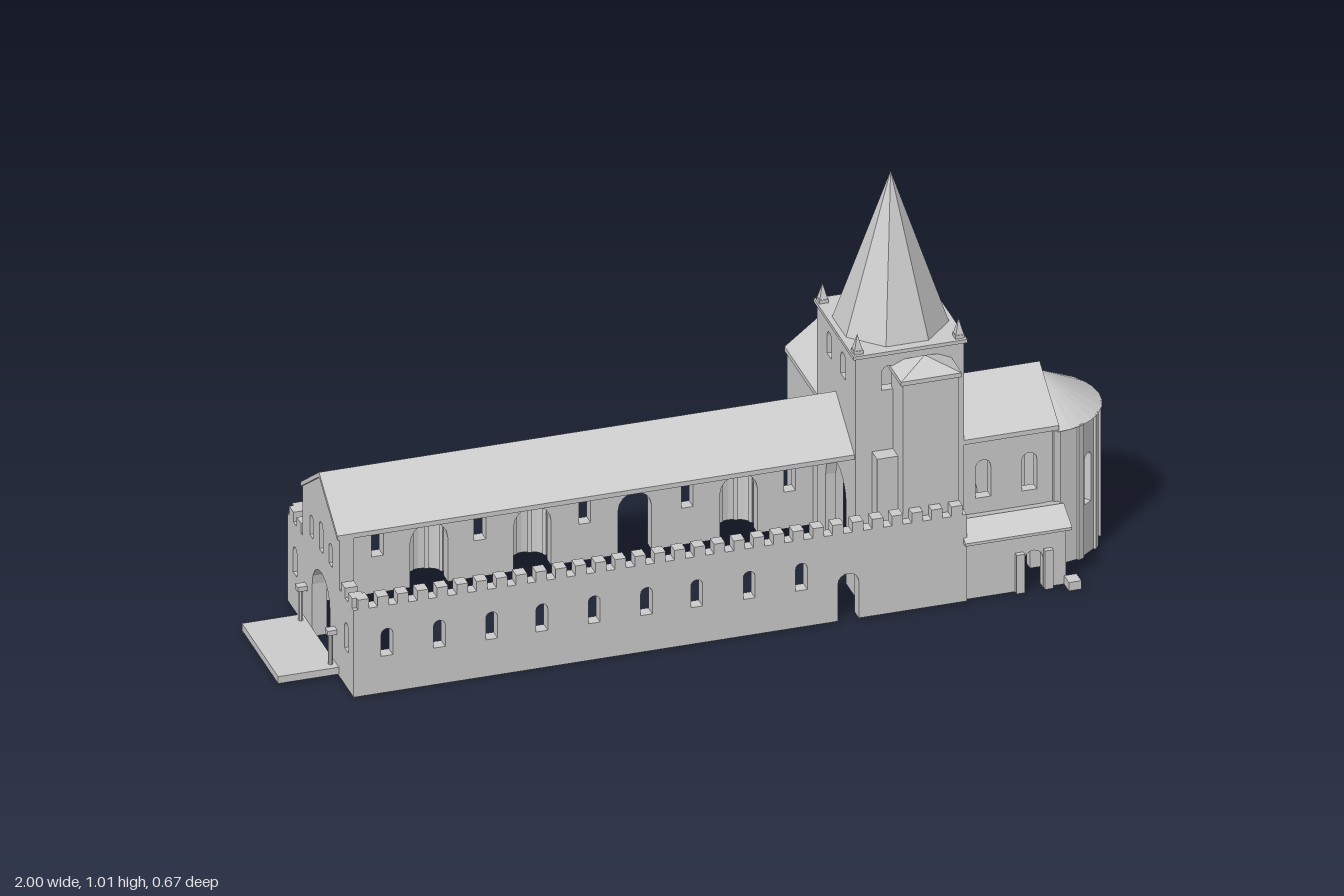
import * as THREE from 'three';

const mat = new THREE.MeshStandardMaterial({ color: 0xcccccc, flatShading: true, side: THREE.DoubleSide });
const CX = 0.505, CZ = 0.07; // tower centre and long axis of the church

export function createModel() {
  const root = new THREE.Group();

  const add = (name, geo, x = 0, y = 0, z = 0, ry = 0, parent = root) => {
    const m = new THREE.Mesh(geo, mat);
    m.name = name;
    m.position.set(x, y, z);
    m.rotation.y = ry;
    parent.add(m);
    return m;
  };
  const box = (name, x0, x1, y0, y1, z0, z1) =>
    add(name, new THREE.BoxGeometry(x1 - x0, y1 - y0, z1 - z0), (x0 + x1) / 2, (y0 + y1) / 2, (z0 + z1) / 2);

  // round-headed outline, used for windows (holes) and doors (notches)
  const arch = (path, { u, w, y0 = 0, y1 }) => {
    path.lineTo(u - w / 2, y0);
    path.lineTo(u - w / 2, y1 - w / 2);
    for (let i = 1; i < 8; i++) {
      const a = Math.PI * (1 - i / 8);
      path.lineTo(u + Math.cos(a) * w / 2, y1 - w / 2 + Math.sin(a) * w / 2);
    }
    path.lineTo(u + w / 2, y1 - w / 2);
    path.lineTo(u + w / 2, y0);
  };

  // wall panel from u0 to u1, optional gable peak, windows and doors
  const panel = (u0, u1, h, t, { peak = 0, windows = [], doors = [] } = {}) => {
    const s = new THREE.Shape();
    s.moveTo(u0, 0);
    [...doors].sort((a, b) => a.u - b.u).forEach(d => arch(s, d));
    s.lineTo(u1, 0);
    s.lineTo(u1, h);
    if (peak) s.lineTo((u0 + u1) / 2, peak);
    s.lineTo(u0, h);
    s.closePath();
    for (const w of windows) {
      const p = new THREE.Path();
      p.moveTo(w.u - w.w / 2, w.y0);
      arch(p, w);
      p.closePath();
      s.holes.push(p);
    }
    return new THREE.ExtrudeGeometry(s, { depth: t, bevelEnabled: false });
  };
  const wallX = (name, x0, x1, z, h, t, o) => add(name, panel(x0, x1, h, t, o), 0, 0, z);
  const wallZ = (name, z0, z1, x, h, t, o) => add(name, panel(z0, z1, h, t, o), x + t, 0, 0, -Math.PI / 2);

  // chevron roof, run along x unless alongZ
  const gableRoof = (name, half, eave, ridge, from, to, centre, alongZ) => {
    const t = 0.012, s = new THREE.Shape();
    s.moveTo(-half, eave);
    s.lineTo(-half, eave - t);
    s.lineTo(0, ridge - t);
    s.lineTo(half, eave - t);
    s.lineTo(half, eave);
    s.lineTo(0, ridge);
    s.closePath();
    const g = new THREE.ExtrudeGeometry(s, { depth: to - from, bevelEnabled: false });
    return alongZ ? add(name, g, centre, 0, from) : add(name, g, to, 0, centre, -Math.PI / 2);
  };

  const merlons = (from, to, across, alongZ) => {
    const n = Math.round((to - from) / 0.047);
    const step = (to - from) / n;
    for (let i = 0; i < n; i++) {
      const a = from + step * (i + 0.22), b = a + step * 0.56;
      if (alongZ) box('merlon', across, across + 0.03, 0.225, 0.25, a, b);
      else box('merlon', a, b, 0.225, 0.25, across, across + 0.03);
    }
  };

  // aisle walls with battlements
  const slots = [-0.775, -0.65, -0.525, -0.405, -0.28, -0.155, -0.035, 0.09, 0.215];
  const slit = u => ({ u, w: 0.028, y0: 0.095, y1: 0.165 });
  const chapels = [-0.527, -0.28, 0.213];
  wallX('frontAisleWall', -0.855, 0.61, 0.278, 0.225, 0.03,
    { windows: slots.map(slit), doors: [{ u: 0.327, w: 0.05, y1: 0.12 }] });
  merlons(-0.855, 0.61, 0.278);
  wallX('backAisleWall', -0.855, 0.39, -0.175, 0.225, 0.03, {
    windows: [-0.775, -0.65, -0.405, -0.155, 0.09, 0.335].map(slit),
    doors: [...chapels.map(u => ({ u, w: 0.09, y1: 0.16 })), { u: -0.035, w: 0.08, y1: 0.155 }],
  });
  merlons(-0.855, 0.39, -0.175);
  for (const [a, b] of [[-0.175, -0.065], [0.205, 0.308]]) {
    wallZ('aisleEndWall', a, b, -0.855, 0.225, 0.03, { windows: [slit((a + b) / 2)] });
    merlons(a, b, -0.855, true);
  }
  wallZ('aisleReturnWall', 0.21, 0.308, 0.58, 0.225, 0.03);

  // small round chapels on the back wall
  for (const x of chapels) {
    const z = -0.165, r = 0.06;
    add('chapelWall', new THREE.CylinderGeometry(r, r, 0.145, 10, 1, true, Math.PI / 2, Math.PI), x, 0.0725, z);
    add('chapelRoof', new THREE.ConeGeometry(r + 0.006, 0.04, 10, 1, true, Math.PI / 2, Math.PI), x, 0.165, z);
    for (let i = 1; i < 5; i++) {
      const a = Math.PI / 2 + Math.PI * i / 5;
      add('chapelPilaster', new THREE.BoxGeometry(0.01, 0.145, 0.008),
        x + Math.sin(a) * r, 0.0725, z + Math.cos(a) * r, a);
    }
  }

  // nave: entrance gable, roof, terrace and portal columns
  wallZ('entranceGable', -0.065, 0.205, -0.855, 0.355, 0.035, {
    peak: 0.45,
    windows: [-0.07, 0, 0.07].map(d => ({ u: CZ + d, w: 0.025, y0: 0.255, y1: d ? 0.31 : 0.33 })),
    doors: [{ u: CZ, w: 0.13, y1: 0.2 }],
  });
  gableRoof('naveRoof', 0.135, 0.365, 0.46, -0.86, 0.378, CZ);
  box('terrace', -1, -0.855, 0.004, 0.022, -0.065, 0.2);
  for (const z of [-0.04, 0.178]) {
    add('portalColumn', new THREE.CylinderGeometry(0.006, 0.006, 0.08, 8), -0.868, 0.062, z);
    box('columnCapital', -0.878, -0.855, 0.1, 0.112, z - 0.01, z + 0.01);
  }

  // tower
  const tx0 = 0.375, tx1 = 0.635, tz0 = -0.068, tz1 = 0.212, tc = (tz0 + tz1) / 2;
  const bells = c => [-0.05, 0.05].map(d => ({ u: c + d, w: 0.034, y0: 0.525, y1: 0.587 }));
  for (const x of [tx0, tx1 - 0.025])
    wallZ('towerWall', tz0, tz1, x, 0.618, 0.025, { windows: bells(tc), doors: [{ u: CZ, w: 0.15, y1: 0.28 }] });
  wallX('towerWall', tx0, tx1, tz1 - 0.025, 0.618, 0.025, { windows: bells(CX) });
  wallX('towerWall', tx0, tx1, tz0, 0.618, 0.025,
    { windows: bells(CX), doors: [{ u: CX, w: 0.15, y1: 0.28 }] });
  box('towerCornice', tx0 - 0.006, tx1 + 0.006, 0.617, 0.626, tz0 - 0.006, tz1 + 0.006);
  const spire = new THREE.ConeGeometry(0.133, 0.384, 8);
  spire.rotateY(Math.PI / 8);
  add('spire', spire, CX, 0.818, tc);
  for (const sx of [-1, 1]) for (const sz of [-1, 1]) {
    const x = CX + sx * 0.121, z = tc + sz * 0.127;
    box('pinnacleBase', x - 0.011, x + 0.011, 0.625, 0.635, z - 0.011, z + 0.011);
    add('pinnacle', new THREE.ConeGeometry(0.014, 0.04, 4), x, 0.654, z, Math.PI / 4);
  }

  // stair turret with pyramid cap
  box('stairTurret', 0.465, 0.598, 0, 0.575, 0.2, 0.284);
  box('turretEave', 0.459, 0.604, 0.572, 0.583, 0.19, 0.29);
  const cap = new THREE.ConeGeometry(Math.SQRT1_2, 1, 4);
  cap.rotateY(Math.PI / 4);
  cap.scale(0.145, 0.033, 0.1);
  add('turretCap', cap, 0.5315, 0.599, 0.24);
  box('turretButtress', 0.415, 0.466, 0, 0.37, 0.2, 0.25);

  // transept
  wallX('transeptGable', 0.39, 0.62, -0.333, 0.355, 0.025,
    { peak: 0.448, windows: [{ u: CX, w: 0.036, y0: 0.185, y1: 0.28 }] });
  for (const x of [0.39, 0.595]) wallZ('transeptWall', -0.333, -0.068, x, 0.355, 0.025);
  gableRoof('transeptRoof', 0.12, 0.362, 0.456, -0.336, -0.066, CX, true);

  // choir
  const lights = [0.683, 0.793].map(u => ({ u, w: 0.036, y0: 0.203, y1: 0.3 }));
  wallX('choirWall', 0.63, 0.86, 0.18, 0.355, 0.025, { windows: lights, doors: [{ u: 0.772, w: 0.045, y1: 0.1 }] });
  wallX('choirWall', 0.63, 0.86, -0.065, 0.355, 0.025, { windows: lights, doors: [{ u: 0.725, w: 0.045, y1: 0.11 }] });
  wallZ('choirGable', -0.065, 0.205, 0.84, 0.355, 0.02, { peak: 0.446, doors: [{ u: CZ, w: 0.2, y1: 0.32 }] });
  gableRoof('choirRoof', 0.142, 0.362, 0.455, 0.632, 0.862, CZ);
  box('backStep', 0.69, 0.76, 0, 0.02, -0.105, -0.06);

  // apse: flat bays, pilasters and half cone
  const R = 0.14, bays = 7, bay = Math.PI / bays, ax = 0.857;
  const apse = new THREE.Group();
  apse.name = 'apse';
  apse.position.set(ax, 0, CZ);
  root.add(apse);
  const half = R * Math.sin(bay / 2), mid = R * Math.cos(bay / 2);
  for (let i = 0; i < bays; i++) {
    const a = (i + 0.5) * bay;
    const g = panel(-half, half, 0.35, 0.018,
      { windows: i % 2 ? [{ u: 0, w: 0.026, y0: 0.13, y1: 0.26 }] : [] });
    g.translate(0, 0, mid - 0.018);
    add('apseBay', g, 0, 0, 0, a, apse);
  }
  for (let i = 0; i <= bays; i++) {
    const a = i * bay;
    add('apsePilaster', new THREE.BoxGeometry(0.016, 0.35, 0.014),
      Math.sin(a) * (R - 0.003), 0.175, Math.cos(a) * (R - 0.003), a, apse);
  }
  add('apseRoof', new THREE.ConeGeometry(0.147, 0.087, 14, 1, true, 0, Math.PI), 0, 0.3915, 0, 0, apse);

  // side porch against the choir
  wallX('porchFront', 0.61, 0.85, 0.28, 0.158, 0.02, { doors: [{ u: 0.772, w: 0.045, y1: 0.1 }] });
  wallZ('porchEnd', 0.2, 0.3, 0.83, 0.165, 0.02);
  const roof = new THREE.Shape();
  roof.moveTo(0.2, 0.152);
  roof.lineTo(0.323, 0.15);
  roof.lineTo(0.323, 0.157);
  roof.lineTo(0.262, 0.188);
  roof.lineTo(0.2, 0.162);
  roof.closePath();
  add('porchRoof', new THREE.ExtrudeGeometry(roof, { depth: 0.255, bevelEnabled: false }), 0.857, 0, 0, -Math.PI / 2);
  box('porchStep', 0.845, 0.875, 0, 0.022, 0.3, 0.335);
  for (const x of [0.738, 0.806]) box('doorPier', x - 0.01, x + 0.01, 0, 0.1, 0.295, 0.312);

  return root;
}
